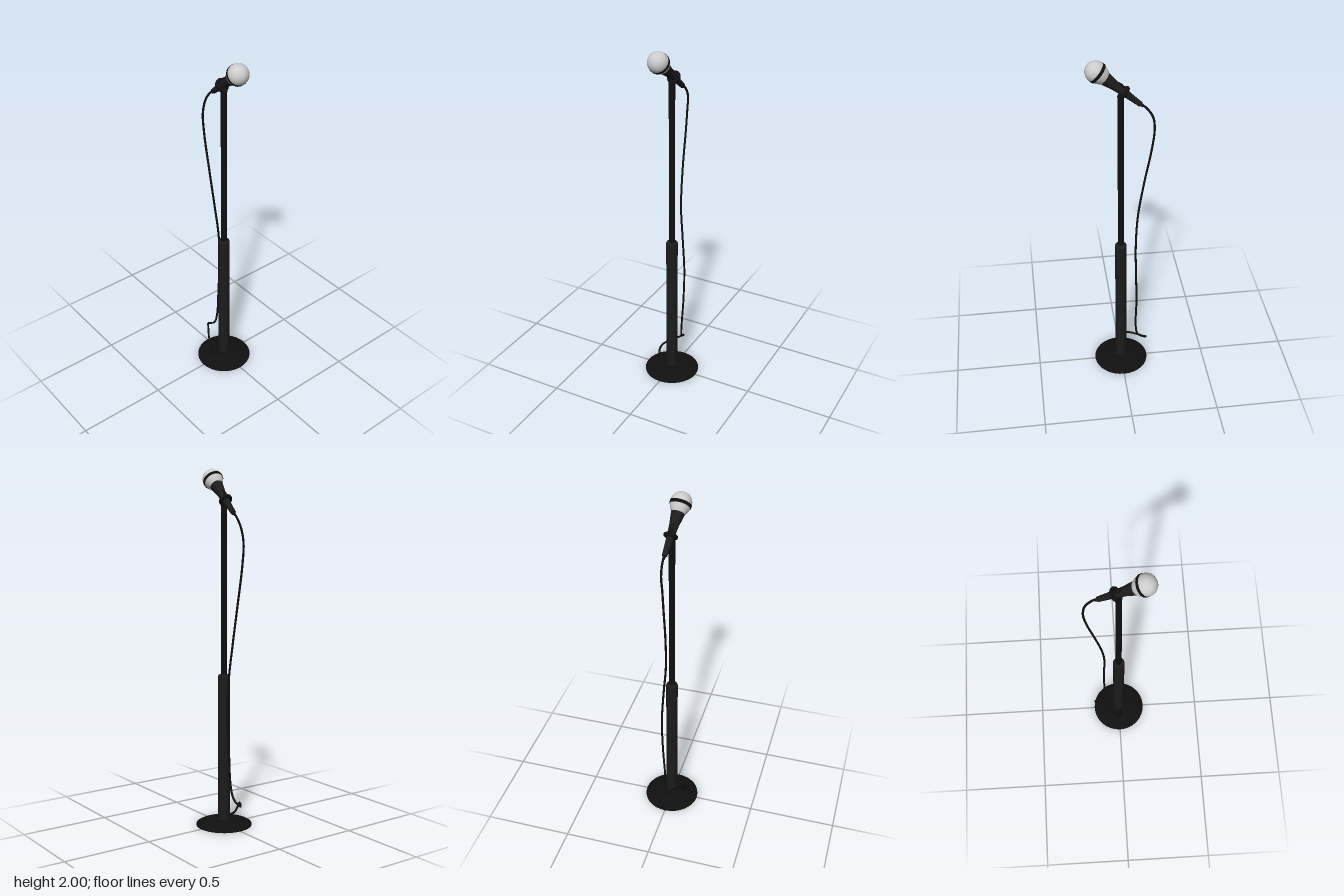
import * as THREE from 'three';

const V = (x, y, z) => new THREE.Vector3(x, y, z);
const material = (color) => new THREE.MeshStandardMaterial({ color, side: THREE.DoubleSide });

export function createModel() {
  const model = new THREE.Group();
  const black = material(0x101010);
  const charcoal = material(0x1c1c1c);
  const grey = material(0xcccccc);

  const add = (parent, name, geometry, mat, x = 0, y = 0, z = 0) => {
    const mesh = new THREE.Mesh(geometry, mat);
    mesh.name = name;
    mesh.position.set(x, y, z);
    parent.add(mesh);
    return mesh;
  };
  // Each run of [radius, height] points is smooth; separate runs meet in a sharp edge
  const lathe = (points, sides = 32) =>
    new THREE.LatheGeometry(points.map(([r, h]) => new THREE.Vector2(r, h)), sides);

  // Domed foot with a recessed fixing in its underside
  const stand = new THREE.Group();
  stand.name = 'stand';
  model.add(stand);
  add(stand, 'baseDome', lathe([[0.158, 0.006], [0.145, 0.013], [0.115, 0.021], [0.07, 0.028], [0.03, 0.032]]), black);
  add(stand, 'baseRim', lathe([[0.158, 0], [0.158, 0.006]]), black);
  add(stand, 'baseUnderside', lathe([[0.03, 0], [0.158, 0]]), black);
  add(stand, 'baseRecess', lathe([[0.03, 0.015], [0.03, 0]]), charcoal);
  add(stand, 'baseRecessFloor', lathe([[0, 0.015], [0.03, 0.015]]), charcoal);
  add(stand, 'baseBolt', new THREE.CylinderGeometry(0.014, 0.014, 0.012, 12), charcoal, 0, 0.01);

  // Telescopic pole
  add(stand, 'lowerTube', new THREE.CylinderGeometry(0.033, 0.033, 0.83, 20), charcoal, 0, 0.443);
  add(stand, 'lowerTubeCollar', lathe([[0.033, 0.856], [0.031, 0.864], [0.016, 0.867]], 20), charcoal);
  add(stand, 'upperPole', new THREE.CylinderGeometry(0.017, 0.017, 0.95, 14), black, 0, 1.325);

  // Microphone built along +y, then tilted from its tail towards its head
  const tail = V(-0.1, 1.757, -0.01);
  const headCentre = V(0.125, 1.943, 0.012);
  const axis = headCentre.clone().sub(tail);
  const length = axis.length();
  const side = V(0, 0, 1).addScaledVector(axis, -axis.z / axis.lengthSq()).normalize();
  const dir = axis.normalize();
  const up = side.clone().cross(dir);
  const microphone = new THREE.Group();
  microphone.name = 'microphone';
  microphone.position.copy(tail);
  microphone.quaternion.setFromRotationMatrix(new THREE.Matrix4().makeBasis(up, dir, side.clone().negate()).multiply(
    new THREE.Matrix4().makeScale(-1, 1, 1)).multiply(new THREE.Matrix4().makeScale(-1, 1, 1)));
  // Basis is (up, dir, up x dir)
  microphone.quaternion.setFromRotationMatrix(new THREE.Matrix4().makeBasis(up, dir, up.clone().cross(dir)));
  model.add(microphone);

  add(microphone, 'handle', lathe([[0.014, 0], [0.017, 0.06], [0.021, 0.12], [0.025, 0.17], [0.031, 0.205], [0.036, length - 0.055]]), charcoal);
  add(microphone, 'tailCap', lathe([[0, 0], [0.014, 0]]), charcoal);
  add(microphone, 'lowerGrille', lathe([[0.034, length - 0.06], [0.04, length - 0.053], [0.048, length - 0.037], [0.054, length - 0.02]]), grey);
  add(microphone, 'grilleBand', lathe([[0.053, length - 0.021], [0.0565, length - 0.019], [0.0575, length - 0.004], [0.053, length - 0.002]]), black);
  add(microphone, 'upperGrille', new THREE.SphereGeometry(0.056, 32, 14, 0, Math.PI * 2, 0, Math.PI / 2 + 0.07), grey, 0, length);

  // Sliding switch on the upper side of the handle
  add(microphone, 'switchPlate', new THREE.BoxGeometry(0.006, 0.04, 0.018), black, 0.022, 0.143);
  add(microphone, 'switchSlider', new THREE.BoxGeometry(0.008, 0.013, 0.009), charcoal, 0.025, 0.147);

  // Holder ring and its joint on the pole
  const ring = add(microphone, 'holderRing', new THREE.TorusGeometry(0.027, 0.011, 10, 28), black, 0, 0.108);
  ring.rotation.x = Math.PI / 2;
  add(stand, 'holderJoint', new THREE.SphereGeometry(0.019, 16, 10), black, 0, 1.803);

  // Cable hanging from the tail and curling round at the foot
  const path = new THREE.CatmullRomCurve3([
    V(-0.09, 1.765, -0.009), V(-0.125, 1.74, -0.012), V(-0.165, 1.68, -0.009),
    V(-0.177, 1.6, 0), V(-0.165, 1.48, 0.002), V(-0.125, 1.26, 0),
    V(-0.093, 1.05, -0.008), V(-0.081, 0.85, -0.026), V(-0.084, 0.65, -0.036),
    V(-0.088, 0.45, -0.03), V(-0.088, 0.25, -0.018), V(-0.102, 0.18, -0.01),
    V(-0.135, 0.152, -0.006), V(-0.153, 0.142, 0.001), V(-0.135, 0.137, 0.015),
    V(-0.075, 0.13, 0.058), V(-0.03, 0.115, 0.085), V(-0.007, 0.085, 0.09),
    V(0.003, 0.055, 0.075), V(0.012, 0.042, 0.045), V(0.015, 0.04, 0.02),
  ], false, 'centripetal');
  add(model, 'cable', new THREE.TubeGeometry(path, 200, 0.006, 8), black);
  add(microphone, 'cableSleeve', new THREE.CylinderGeometry(0.01, 0.007, 0.02, 12), black, 0, -0.008);

  return model;
}
